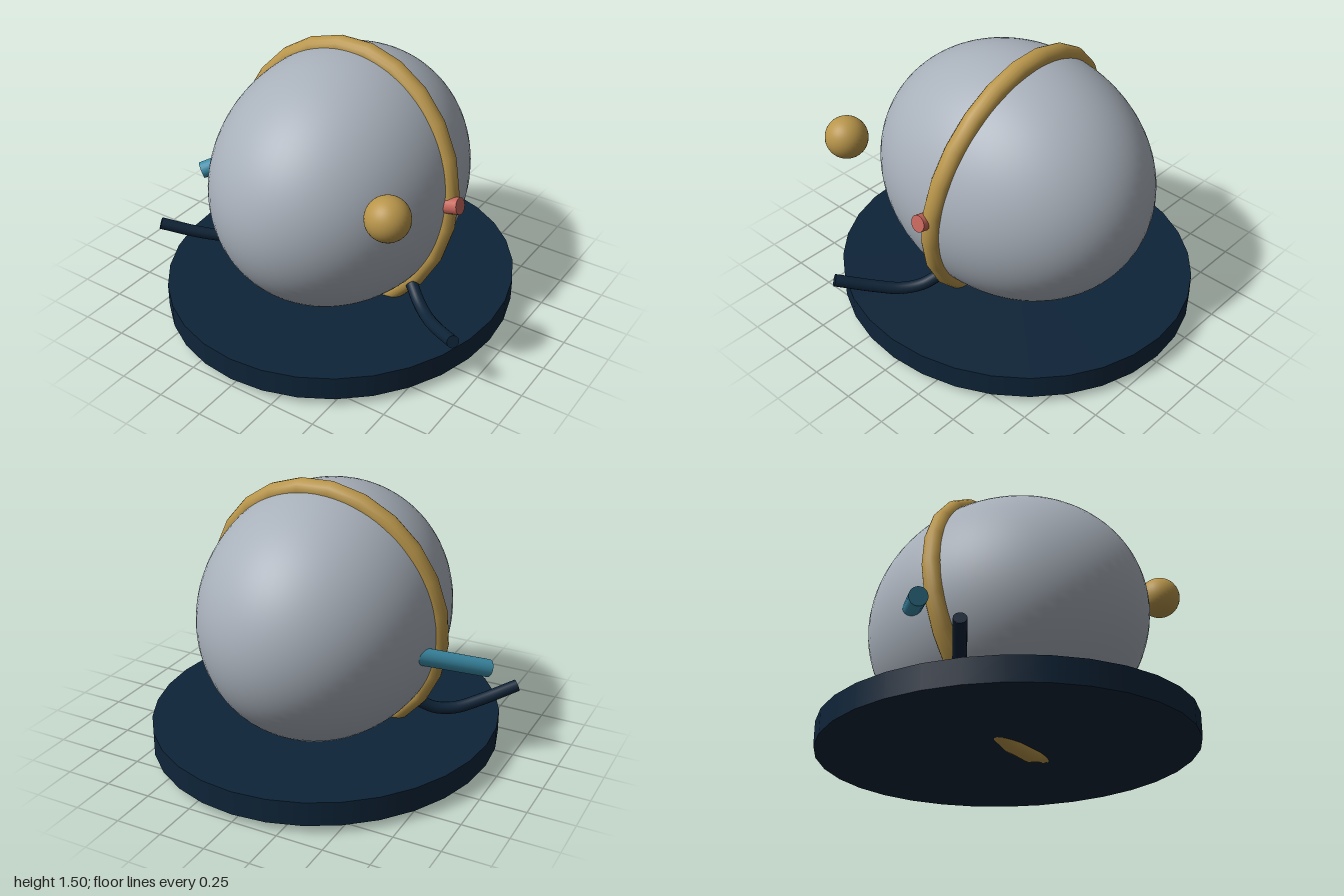
import * as THREE from 'three';

const paint = (name, color) => {
  const m = new THREE.MeshStandardMaterial({ color });
  m.name = name;
  return m;
};

export function createModel() {
  const grey = paint('stone grey', 0xa8b0ba);
  const gold = paint('gold', 0xb8954a);
  const navy = paint('navy', 0x0e2438);
  const teal = paint('teal', 0x3d8fab);
  const red = paint('coral red', 0xc4655a);

  const model = new THREE.Group();
  model.name = 'model';
  const add = (name, geometry, material, x = 0, y = 0, z = 0, parent = model) => {
    const mesh = new THREE.Mesh(geometry, material);
    mesh.name = name;
    mesh.position.set(x, y, z);
    parent.add(mesh);
    return mesh;
  };
  const up = new THREE.Vector3(0, 1, 0);

  // Solid rod between two points
  const rod = (name, a, b, radius, sides, material) => {
    const mid = a.clone().lerp(b, 0.5);
    const mesh = add(name, new THREE.CylinderGeometry(radius, radius, a.distanceTo(b), sides), material, mid.x, mid.y, mid.z);
    mesh.quaternion.setFromUnitVectors(up, b.clone().sub(a).normalize());
    return mesh;
  };

  // Oval base disc
  add('base', new THREE.CylinderGeometry(1, 1, 0.13, 32), navy, 0, 0.115, 0).scale.x = 0.935;

  // Egg-shaped body
  add('body', new THREE.SphereGeometry(1, 64, 48), grey, 0, 0.765, 0).scale.set(0.645, 0.69, 0.795);

  // Leaning ring around the body
  const ring = new THREE.TorusGeometry(0.705, 0.055, 16, 24);
  ring.rotateZ(-0.15);
  ring.scale(0.907, 1, 1);
  ring.rotateX(-0.143);
  ring.rotateY(0.03);
  add('ring', ring, gold, 0, 0.754, 0);

  // Ball floating by the left front
  add('ball', new THREE.SphereGeometry(0.112, 32, 24), gold, 0.647, 1.022, 0.585);

  // Small knob on the ring
  rod('knob', new THREE.Vector3(0.635, 0.785, 0), new THREE.Vector3(0.715, 0.805, 0), 0.045, 16, red);

  // Spout leaving the right side
  rod('spout', new THREE.Vector3(-0.56, 0.695, -0.185), new THREE.Vector3(-0.875, 0.55, 0.13), 0.047, 20, teal);

  // Pair of bent arms with capped ends
  for (const side of [-1, 1]) {
    const arm = new THREE.Group();
    arm.name = side > 0 ? 'leftArm' : 'rightArm';
    model.add(arm);
    const path = new THREE.CatmullRomCurve3(
      [[0.505, 0.292, 0.09], [0.58, 0.243, 0.145], [0.67, 0.23, 0.215], [0.78, 0.262, 0.305], [0.94, 0.33, 0.43]]
        .map(([x, y, z]) => new THREE.Vector3(side * x, y, z)));
    add('armTube', new THREE.TubeGeometry(path, 24, 0.033, 12), navy, 0, 0, 0, arm);
    for (const t of [0, 1]) {
      const p = path.getPoint(t);
      const cap = add('armCap', new THREE.CircleGeometry(0.033, 12), navy, p.x, p.y, p.z, arm);
      const out = path.getTangent(t).multiplyScalar(t ? 1 : -1);
      cap.quaternion.setFromUnitVectors(new THREE.Vector3(0, 0, 1), out);
    }
  }
  return model;
}
